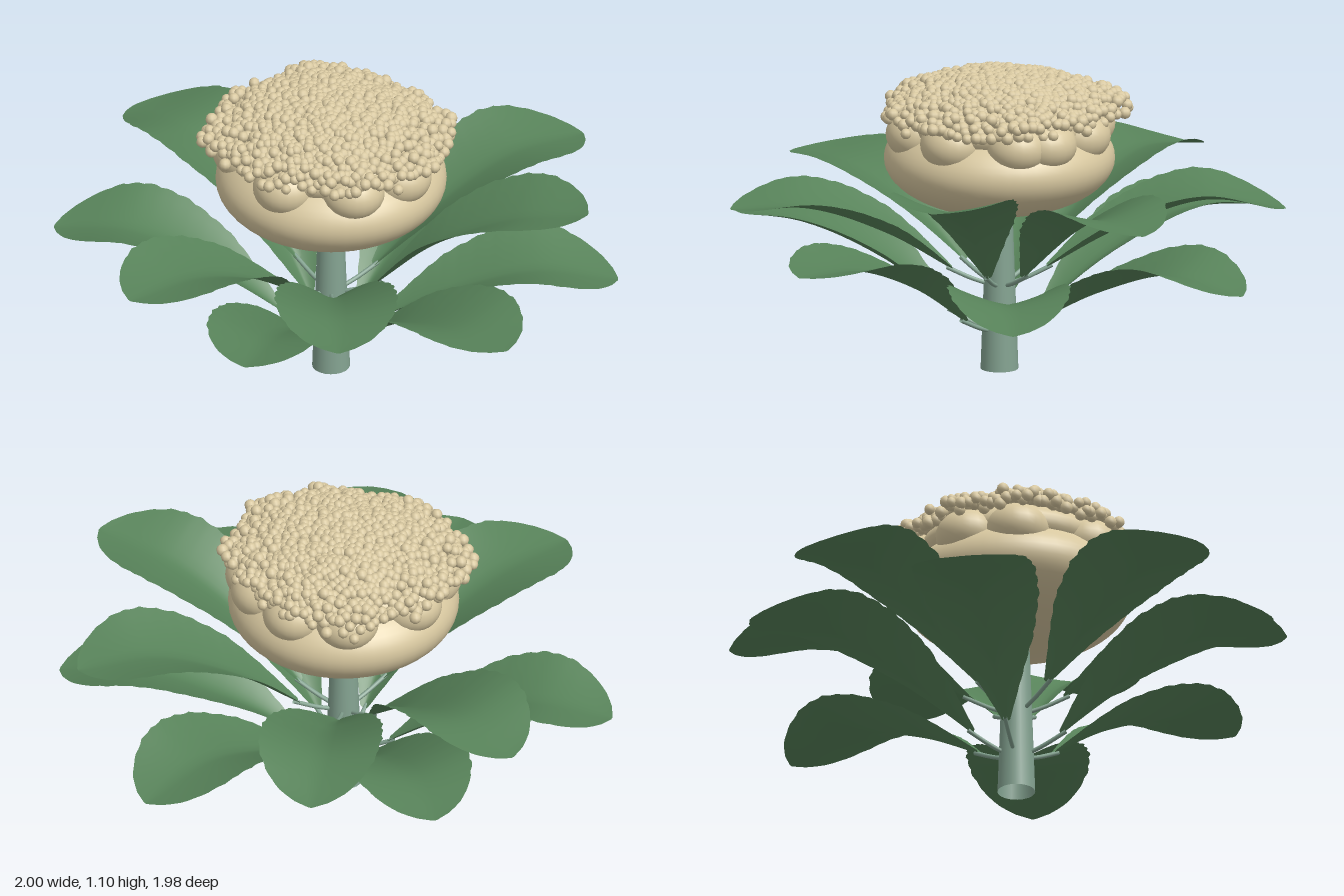
import * as THREE from 'three';
import { mergeGeometries } from 'three/addons/utils/BufferGeometryUtils.js';

const leafGreen = new THREE.MeshStandardMaterial({ color: 0x578259, side: THREE.DoubleSide });
leafGreen.name = 'leaf green';
const stemGreen = new THREE.MeshStandardMaterial({ color: 0x84a391, side: THREE.DoubleSide });
stemGreen.name = 'pale stem green';
const cream = new THREE.MeshStandardMaterial({ color: 0xd8c8a0 });
cream.name = 'cream curd';

const rad = THREE.MathUtils.degToRad;
let seed = 7;
const rand = () => (seed = (seed * 16807) % 2147483647) / 2147483647;

function add(parent, name, geometry, material) {
  const mesh = new THREE.Mesh(geometry, material);
  mesh.name = name;
  parent.add(mesh);
  return mesh;
}

function lookup(table, t) {
  const i = Math.max(1, table.findIndex(([a]) => t <= a));
  const [a, va] = table[i - 1], [b, vb] = table[i];
  return THREE.MathUtils.lerp(va, vb, (t - a) / (b - a));
}

// Half width along the blade, as [fraction, width]
const WIDTH = [[0, 0.015], [0.12, 0.07], [0.3, 0.15], [0.48, 0.205], [0.63, 0.222],
  [0.76, 0.21], [0.86, 0.17], [0.93, 0.12], [0.975, 0.065], [1, 0.008]];

// Blade swept along an arched midrib, its halves folded up and easing flat at the tip
function bladeGeometry(rib, phase) {
  const NU = 44, NV = 12, pos = [], index = [];
  for (let i = 0; i <= NU; i++) {
    const t = i / NU, p = rib.getPoint(t);
    const half = lookup(WIDTH, t) + 0.004 * Math.sin(i * 2.1 + phase) * Math.sin(Math.PI * t);
    for (let j = 0; j <= NV; j++) {
      const v = (j / NV) * 2 - 1;
      const fold = half * Math.abs(v) ** 1.3 * (0.62 - 0.5 * t);
      pos.push(p.x, p.y + fold, v * half);
      if (i < NU && j < NV) {
        const a = i * (NV + 1) + j, b = a + NV + 1;
        index.push(a, a + 1, b, b, a + 1, b + 1);
      }
    }
  }
  const g = new THREE.BufferGeometry();
  g.setAttribute('position', new THREE.Float32BufferAttribute(pos, 3));
  g.setIndex(index);
  g.computeVertexNormals();
  return g;
}

// Each leaf: angle in degrees from +x towards +z, reach, midrib shoulder height, tip height
const LOWER = [[-1, 1.03, 0.44, 0.40], [54, 1.03, 0.41, 0.37], [103, 0.99, 0.48, 0.50],
  [161, 0.98, 0.50, 0.53], [243, 1.01, 0.49, 0.47], [297, 1.04, 0.50, 0.49]];
const UPPER = [[26, 1.01, 0.70, 0.70], [71, 0.97, 0.74, 0.80], [141, 0.97, 0.61, 0.61],
  [190, 0.98, 0.635, 0.65], [279, 1.02, 0.68, 0.65], [322, 1.03, 0.61, 0.57]];

function makeLeaf([angle, reach, shoulderY, tipY], baseY) {
  const leaf = new THREE.Group();
  leaf.name = 'leaf';
  const rib = new THREE.CatmullRomCurve3([
    new THREE.Vector3(0.17, baseY, 0),
    new THREE.Vector3(0.42 * reach, baseY + 0.58 * (shoulderY - baseY), 0),
    new THREE.Vector3(0.72 * reach, shoulderY, 0),
    new THREE.Vector3(reach, tipY, 0),
  ]);
  add(leaf, 'leafBlade', bladeGeometry(rib, angle * 0.7), leafGreen);
  const stalk = new THREE.CatmullRomCurve3([
    new THREE.Vector3(0.03, baseY - 0.06, 0),
    new THREE.Vector3(0.1, baseY - 0.035, 0),
    new THREE.Vector3(0.19, baseY + 0.008, 0),
  ]);
  add(leaf, 'leafStalk', new THREE.TubeGeometry(stalk, 8, 0.008, 8), stemGreen);
  leaf.rotation.y = -rad(angle);
  return leaf;
}

// Ragged rim of the grains, alternating lobe and gap: [angle in degrees, radius]
const RIM = [[-10, 0.41], [8, 0.385], [25, 0.41], [35, 0.405], [45, 0.45], [66, 0.415],
  [90, 0.46], [108, 0.42], [128, 0.43], [152, 0.38], [175, 0.435], [203, 0.415],
  [230, 0.485], [248, 0.42], [265, 0.445], [289, 0.405], [313, 0.49], [331, 0.42], [350, 0.41]];

function makeHead() {
  const head = new THREE.Group();
  head.name = 'head';

  const body = add(head, 'headBody', new THREE.SphereGeometry(1, 48, 32), cream);
  body.scale.set(0.415, 0.2, 0.415);
  body.position.y = 0.78;

  const dome = add(head, 'headDome', new THREE.SphereGeometry(1, 40, 20), cream);
  dome.scale.set(0.36, 0.13, 0.36);
  dome.position.y = 0.925;

  // Swollen florets under each lobe of the rim
  for (let i = 2; i < RIM.length; i += 2) {
    const floret = add(head, 'floret', new THREE.SphereGeometry(1, 24, 16), cream);
    const a = rad(RIM[i][0]);
    floret.scale.set(0.115, 0.095, 0.115);
    floret.position.set(0.31 * Math.cos(a), 0.89, 0.31 * Math.sin(a));
  }

  // Grains in a spiral over the crown, drooping at the rim
  const N = 1050, grains = [];
  const ball = new THREE.SphereGeometry(1, 9, 6);
  for (let i = 0; i < N; i++) {
    const deg = (i * 137.508 + 10) % 360 - 10;
    const s = Math.sqrt((i + 0.5) / N);
    const r = lookup(RIM, deg) * s + (rand() - 0.5) * 0.018;
    const y = 1.068 - 0.11 * s ** 2.4 + (rand() - 0.5) * (0.014 + 0.045 * s ** 4);
    const size = 0.018 + rand() * 0.005;
    grains.push(ball.clone().scale(size, size, size)
      .translate(r * Math.cos(rad(deg)), y, r * Math.sin(rad(deg))));
  }
  add(head, 'grains', mergeGeometries(grains), cream);
  return head;
}

export function createModel() {
  const model = new THREE.Group();
  model.name = 'vegetablePlant';
  const plant = new THREE.Group();
  plant.name = 'plant';
  plant.position.set(-0.03, 0, 0.02);
  model.add(plant);

  // Hollow cut stem
  const stemShape = new THREE.CylinderGeometry(0.045, 0.068, 0.64, 20, 1, true);
  add(plant, 'stem', stemShape, stemGreen).position.y = 0.32;

  for (const spec of LOWER) plant.add(makeLeaf(spec, 0.2));
  for (const spec of UPPER) plant.add(makeLeaf(spec, 0.37));

  plant.add(makeHead());
  return model;
}
